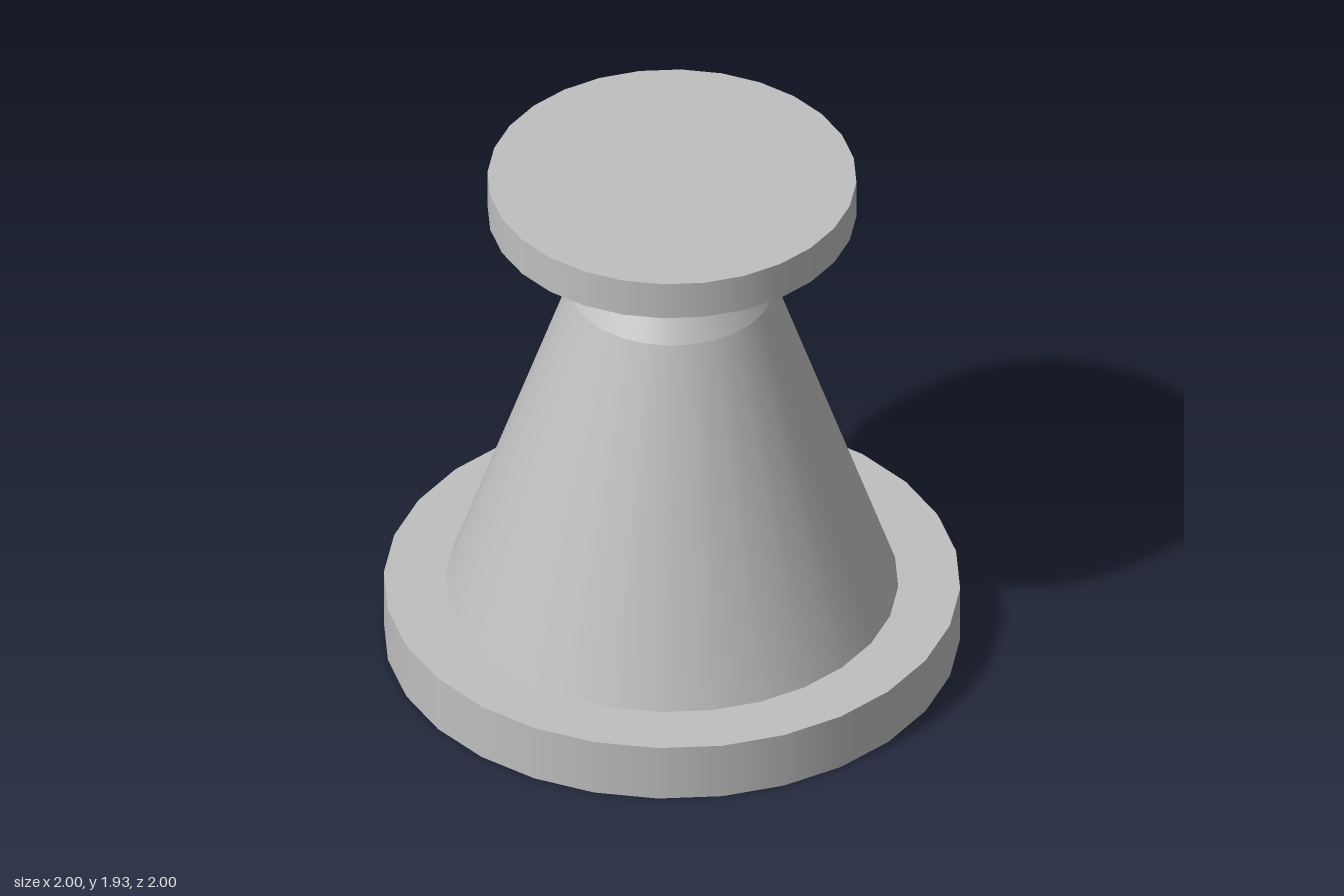
import * as THREE from 'three';

const SIDES = 28;

export function createModel() {
  const model = new THREE.Group();
  const grey = new THREE.MeshStandardMaterial({ color: 0xbfbfbf });
  grey.name = 'plain grey';

  // One round section between two heights, smooth around and sharp at its rims
  function section(name, y0, r0, y1, r1, open) {
    const geometry = new THREE.CylinderGeometry(r1, r0, y1 - y0, SIDES, 1, open);
    const mesh = new THREE.Mesh(geometry, grey);
    mesh.name = name;
    mesh.position.y = (y0 + y1) / 2;
    model.add(mesh);
  }

  // Broad foot disc
  section('base', 0, 1, 0.215, 1, false);
  // Tapering body and its steeper-tapered shoulder
  section('body', 0.215, 0.785, 1.47, 0.355, true);
  section('shoulder', 1.47, 0.355, 1.648, 0.25, true);
  // Flared underside and flat disc on top
  section('capFlare', 1.648, 0.25, 1.79, 0.64, true);
  section('capDisc', 1.79, 0.64, 1.935, 0.64, false);

  return model;
}
